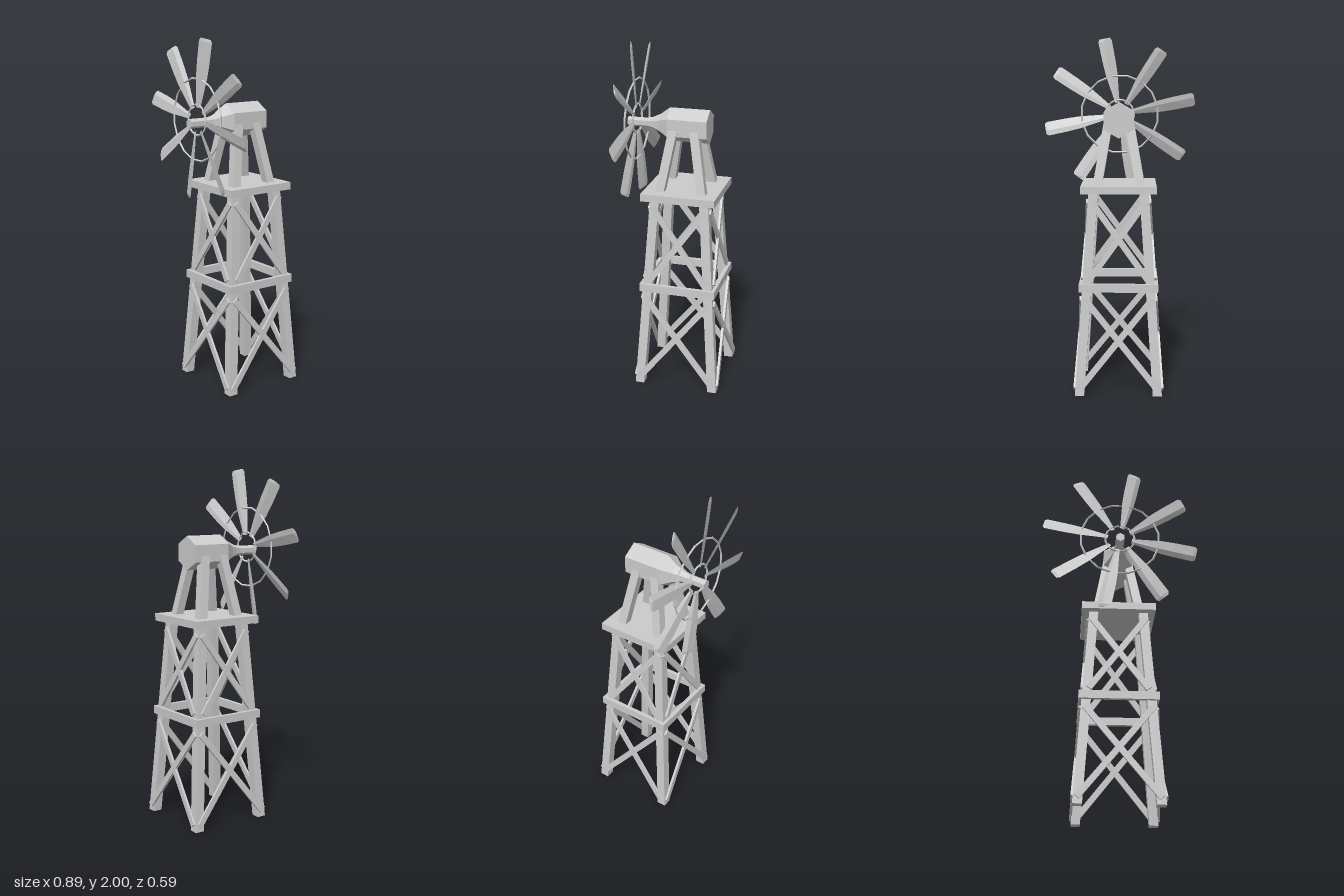
import * as THREE from 'three';

const material = new THREE.MeshStandardMaterial({ color: 0xcccccc, flatShading: true });
const TOWER_Z = -0.04;
const HUB_Y = 1.553;
const V = (x, y, z) => new THREE.Vector3(x, y, z);

function add(parent, geometry, name, x = 0, y = 0, z = 0) {
  const mesh = new THREE.Mesh(geometry, material);
  mesh.name = name;
  mesh.position.set(x, y, z);
  parent.add(mesh);
  return mesh;
}

// Square post with level ends, leaning from (a, y0, a) to (b, y1, b)
function leaningPost(a, y0, b, y1, size) {
  const g = new THREE.BoxGeometry(size, y1 - y0, size);
  const p = g.attributes.position;
  for (let i = 0; i < p.count; i++) {
    const top = p.getY(i) > 0;
    const shift = top ? b : a;
    p.setXYZ(i, p.getX(i) + shift, top ? y1 : y0, p.getZ(i) + shift);
  }
  return g;
}

// Flat slat between two points, lying against a face that looks along +z
function slat(a, b, width, thickness) {
  const dir = b.clone().sub(a);
  const length = dir.length();
  dir.normalize();
  const side = dir.clone().cross(V(0, 0, 1)).normalize();
  const m = new THREE.Matrix4().makeBasis(side, dir, side.clone().cross(dir));
  m.setPosition(a.clone().add(b).multiplyScalar(0.5));
  return new THREE.BoxGeometry(width, length, thickness).applyMatrix4(m);
}

// Blade along +y: four-cornered cross-sections lofted from root to tip
function bladeGeometry() {
  // radius, width, thickness
  const sections = [
    [0.07, 0.028, 0.008], [0.24, 0.074, 0.014], [0.32, 0.082, 0.016],
    [0.435, 0.085, 0.014], [0.45, 0.066, 0.006],
  ];
  const pos = [];
  const index = [];
  sections.forEach(([r, w, t]) => {
    pos.push(-w / 2, r, 0, w * 0.15, r, t * 0.6, w / 2, r, 0, w * 0.15, r, -t * 0.4);
  });
  for (let s = 0; s < sections.length - 1; s++) {
    for (let k = 0; k < 4; k++) {
      const a = s * 4 + k, b = s * 4 + (k + 1) % 4;
      index.push(a, b, b + 4, a, b + 4, a + 4);
    }
  }
  const e = (sections.length - 1) * 4;
  index.push(0, 2, 1, 0, 3, 2, e, e + 1, e + 2, e, e + 2, e + 3);
  const g = new THREE.BufferGeometry();
  g.setAttribute('position', new THREE.Float32BufferAttribute(pos, 3));
  g.setIndex(index);
  g.computeVertexNormals();
  return g;
}

function createTower() {
  const tower = new THREE.Group();
  tower.name = 'tower';
  tower.position.z = TOWER_Z;
  const legCentre = (y) => 0.219 - 0.068 * y;

  for (let i = 0; i < 4; i++) {
    const side = new THREE.Group();
    side.name = 'towerSide';
    side.rotation.y = i * Math.PI / 2;
    tower.add(side);

    // Corner legs below and above the platform
    add(side, leaningPost(legCentre(0), 0, legCentre(1.15), 1.15, 0.052), 'towerLeg');
    add(side, leaningPost(0.121, 1.17, 0.06, 1.52, 0.05), 'headLeg');

    // Crossed braces in two tiers
    for (const [y0, y1, x0, x1] of [[0.035, 0.55, 0.222, 0.188], [0.655, 1.095, 0.165, 0.152]]) {
      const z0 = legCentre(y0) + 0.03, z1 = legCentre(y1) + 0.03;
      for (const s of [-1, 1]) {
        add(side, slat(V(s * x0, y0, z0), V(-s * x1, y1, z1), 0.034, 0.014), 'crossBrace');
      }
    }

    // Girder of the middle frame
    add(side, new THREE.BoxGeometry(0.44, 0.046, 0.024), 'middleGirder', 0, 0.613, 0.209);
  }
  add(tower, new THREE.BoxGeometry(0.42, 0.042, 0.424), 'platform', 0, 1.16, 0);
  return tower;
}

function createHead() {
  // Six-sided housing tapering into the shaft, lathed then turned towards +z
  const profile = [
    [0, -0.172], [0.096, -0.172], [0.096, 0.055], [0.054, 0.112],
    [0.034, 0.155], [0.027, 0.19], [0.027, 0.3], [0, 0.3],
  ].map(([r, z]) => new THREE.Vector2(r, z));
  const g = new THREE.LatheGeometry(profile, 6);
  g.rotateX(Math.PI / 2);
  const head = new THREE.Group();
  head.name = 'head';
  add(head, g, 'housingAndShaft', 0, 1.535, 0);
  return head;
}

function createWheel() {
  const wheel = new THREE.Group();
  wheel.name = 'windWheel';
  wheel.position.set(0, HUB_Y, 0.248);

  // Eight pitched blades
  const blade = bladeGeometry();
  blade.rotateY(0.36);
  for (let i = 0; i < 8; i++) {
    add(wheel, blade, 'blade').rotation.z = -0.2 + i * Math.PI / 4;
  }

  // Rings tying the blades together
  for (const [r, name] of [[0.085, 'innerRing'], [0.229, 'outerRing']]) {
    add(wheel, new THREE.TorusGeometry(r, 0.006, 4, 16), name).rotation.z = -0.2;
  }
  return wheel;
}

export function createModel() {
  const model = new THREE.Group();
  model.name = 'windPump';
  model.add(createTower(), createHead(), createWheel());
  return model;
}
